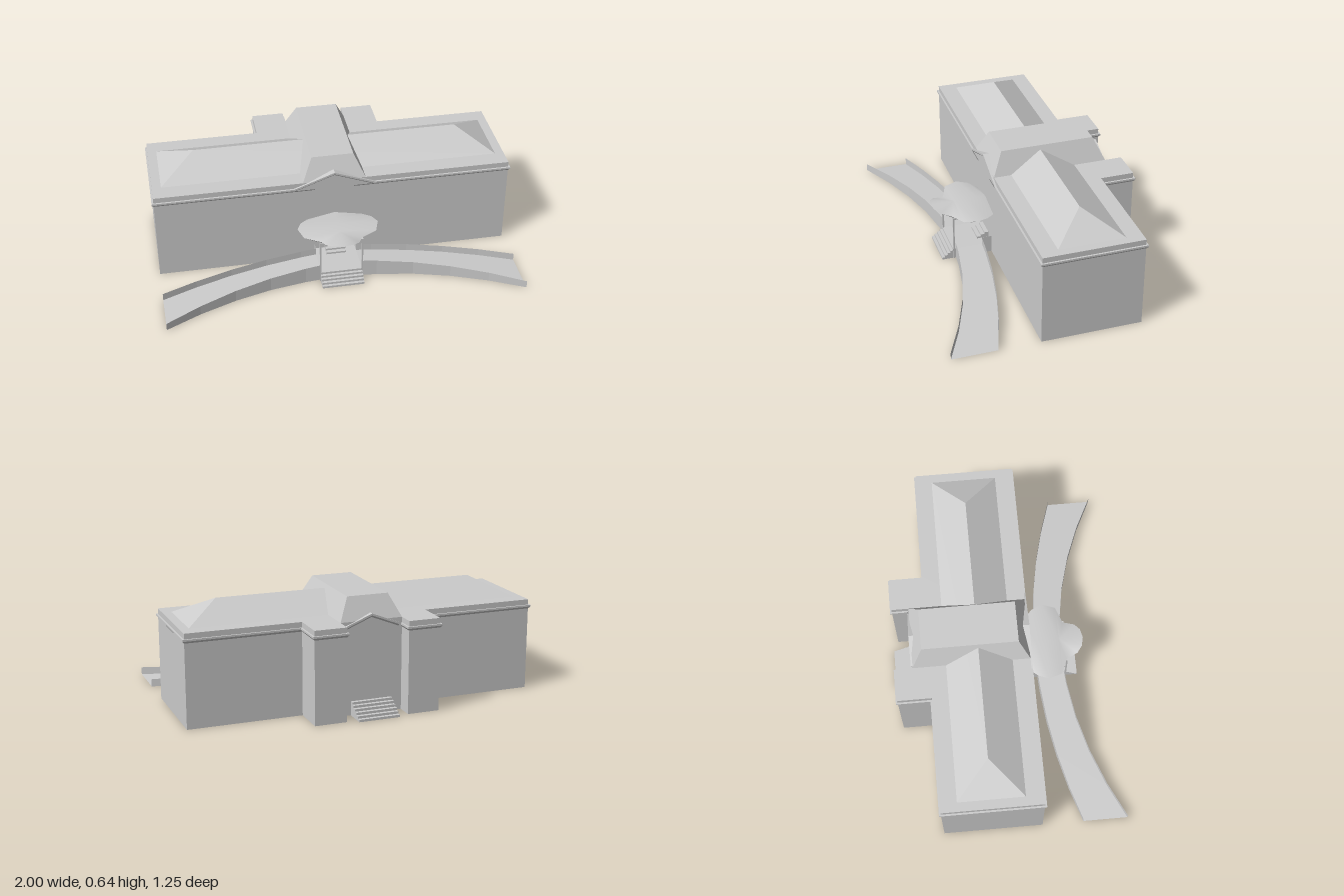
import * as THREE from 'three';
import { mergeVertices } from 'three/addons/utils/BufferGeometryUtils.js';
import { ConvexGeometry } from 'three/addons/geometries/ConvexGeometry.js';

const grey = new THREE.MeshStandardMaterial({ color: 0xcccccc, flatShading: true });
const sheet = new THREE.MeshStandardMaterial({ color: 0xcccccc, flatShading: true, side: THREE.DoubleSide });
const smoothSheet = new THREE.MeshStandardMaterial({ color: 0xcccccc, side: THREE.DoubleSide });

export function createModel() {
  const model = new THREE.Group();
  const add = (name, geometry, material = grey) => {
    const mesh = new THREE.Mesh(geometry, material);
    mesh.name = name;
    model.add(mesh);
    return mesh;
  };
  const box = (name, x0, x1, y0, y1, z0, z1) => {
    const g = new THREE.BoxGeometry(x1 - x0, y1 - y0, z1 - z0);
    return add(name, g.translate((x0 + x1) / 2, (y0 + y1) / 2, (z0 + z1) / 2));
  };
  const toShape = (pts) => new THREE.Shape(pts.map(([x, y]) => new THREE.Vector2(x, y)));
  const extrude = (pts, depth) => new THREE.ExtrudeGeometry(toShape(pts), { depth, bevelEnabled: false });
  // Shape on the ground plan from [x, z] points
  const plan = (pts) => pts.map(([x, z]) => [x, -z]);
  const raise = (name, pts, y0, y1) =>
    add(name, extrude(plan(pts), y1 - y0).rotateX(-Math.PI / 2).translate(0, y0, 0));
  // Extrudes a front outline of [x, y] points from z0 to z1
  const upright = (name, pts, z0, z1) => add(name, extrude(pts, z1 - z0).translate(0, 0, z0));
  const hull = (name, pts) => add(name, new ConvexGeometry(pts.map((p) => new THREE.Vector3(...p))));
  // Thin surface between two rows of points
  const strip = (name, a, b, material = sheet) => {
    const pos = [];
    for (let i = 0; i < a.length - 1; i++) {
      pos.push(...a[i], ...b[i], ...b[i + 1], ...a[i], ...b[i + 1], ...a[i + 1]);
    }
    let g = new THREE.BufferGeometry();
    g.setAttribute('position', new THREE.Float32BufferAttribute(pos, 3));
    if (material === smoothSheet) g = mergeVertices(g);
    g.computeVertexNormals();
    return add(name, g, material);
  };
  const atHeight = (pts, y) => pts.map(([x, z]) => [x, y, z]);
  const mirror = (pts) => pts.map(([x, ...rest]) => [-x, ...rest]);

  // Main block with two rear wings; half plan starts at the front, o = outward offset
  const halfPlan = (startX, o) => [
    [startX, 0.143 + o], [0.99 + o, 0.143 + o], [0.99 + o, -0.41 - o], [0.355 + o, -0.41 - o],
    [0.355 + o, -0.598 - o], [0.175 - o, -0.598 - o], [0.175 - o, -0.503 - o],
  ];
  const half = halfPlan(0, 0);
  const outline = [...half, ...mirror(half).reverse()];
  // Open-bottomed shell: walls and flat roof deck
  strip('mainWalls', atHeight(outline, 0), atHeight(outline, 0.515));
  add('roofDeck', new THREE.ShapeGeometry(toShape(plan(outline.slice(0, -1))))
    .rotateX(-Math.PI / 2).translate(0, 0.515, 0), sheet);
  strip('rearMiddleWall', [[-0.175, 0, -0.503], [0.175, 0, -0.503]],
    [[-0.175, 0.515, -0.503], [0.175, 0.515, -0.503]]);

  // Cornice: sloping soffit under a square band, broken at the front gable
  for (const [side, flip] of [['Left', (p) => p], ['Right', mirror]]) {
    strip('corniceSoffit' + side, atHeight(flip(halfPlan(0.11, 0)), 0.463),
      atHeight(flip(halfPlan(0.11, 0.01)), 0.475));
    const band = [...halfPlan(0.22, 0.01), ...halfPlan(0.22, -0.003).reverse()];
    raise('corniceBand' + side, flip(band), 0.475, 0.485);
  }

  // Gables with raking cornices, front and rear; d = outward direction
  const gable = (name, w, y, top, z, d) => {
    const inside = z - d * 0.053;
    const nose = z + d * 0.01;
    upright(name + 'Wall', [[-w, y], [w, y], [0, top]], Math.min(z, inside), Math.max(z, inside));
    const t = 0.011;
    upright(name + 'Cornice', [[-w, y - t], [0, top - t], [w, y - t], [w, y], [0, top], [-w, y]],
      Math.min(z, nose), Math.max(z, nose));
    const line = (drop, zz) => [[-w, y - drop, zz], [0, top - drop, zz], [w, y - drop, zz]];
    strip(name + 'Soffit', line(0.021, z), line(t, nose));
  };
  gable('frontGable', 0.225, 0.485, 0.57, 0.143, 1);
  gable('rearGable', 0.155, 0.49, 0.552, -0.503, -1);

  // Long hipped roof
  hull('hippedRoof', [
    [-0.94, 0.515, 0.045], [0.94, 0.515, 0.045], [0.94, 0.515, -0.32], [-0.94, 0.515, -0.32],
    [-0.743, 0.618, -0.138], [0.743, 0.618, -0.138],
  ]);
  // Flat-topped central roof
  hull('centralRoof', [
    [-0.175, 0.515, 0.143], [0.175, 0.515, 0.143], [0.175, 0.515, -0.503], [-0.175, 0.515, -0.503],
    [-0.116, 0.639, 0.083], [0.116, 0.639, 0.083], [0.116, 0.639, -0.445], [-0.116, 0.639, -0.445],
  ]);

  // Curved carriage ramps with low side walls
  const xs = [0.115, 0.2, 0.4, 0.6, 0.8, 0.99];
  const inner = (x) => 0.197 + 0.18 * x * x;
  const outer = (x) => 0.349 + 0.28 * x * x;
  const floorY = (x) => 0.06 * (0.99 - x) / 0.875;
  const wallY = (x) => 0.042 + 0.058 * (0.99 - x) / 0.875;
  for (const [s, side] of [[1, 'Left'], [-1, 'Right']]) {
    const row = (zOf, yOf) => xs.map((x) => [s * x, yOf(x), zOf(x)]);
    strip('rampFloor' + side, row(inner, floorY), row(outer, floorY));
    strip('rampInnerWall' + side, row(inner, () => 0), row(inner, wallY));
    strip('rampOuterWall' + side, row(outer, () => 0), row(outer, wallY));
    strip('porchReturnWall' + side, [[s * 0.115, 0, 0.143], [s * 0.115, 0, 0.199]],
      [[s * 0.115, 0.1, 0.143], [s * 0.115, 0.1, 0.199]]);
    // Porch posts and side beams
    const x = s * 0.117;
    box('porchPost' + side, x - 0.004, x + 0.004, 0, 0.258, 0.358, 0.366);
    box('porchBeam' + side, x - 0.004, x + 0.004, 0.252, 0.262, 0.143, 0.366);
  }
  box('porchFrontBeam', -0.121, 0.121, 0.252, 0.262, 0.358, 0.366);
  box('porchFloor', -0.115, 0.115, 0.05, 0.06, 0.143, 0.352);

  // Solid stairs descending from zTop to zEnd, half width w
  const stairs = (name, w, n, yBase, yTop, zTop, zEnd) => {
    const profile = [[zTop, yBase]];
    for (let i = 0; i < n; i++) {
      const y = yTop - (i / n) * (yTop - yBase);
      for (const k of [i, i + 1]) profile.push([zTop + (k / n) * (zEnd - zTop), y]);
    }
    profile.push([zEnd, yBase]);
    add(name, extrude(profile, 2 * w).rotateY(-Math.PI / 2).translate(w, 0, 0));
  };
  stairs('frontStairs', 0.117, 5, 0, 0.06, 0.352, 0.432);
  stairs('doorSteps', 0.056, 3, 0.06, 0.092, 0.143, 0.21);
  stairs('rearStairs', 0.116, 6, 0, 0.078, -0.503, -0.625);

  // Porch canopy: scalloped upturned rim, [x, y, z] for one half
  const rim = [
    [0.155, 0.268, 0.143], [0.2, 0.279, 0.19], [0.225, 0.285, 0.25], [0.2, 0.279, 0.325],
    [0.112, 0.266, 0.36], [0.086, 0.285, 0.424], [0.05, 0.296, 0.452], [0, 0.3, 0.463],
  ];
  const fullRim = [...rim, ...mirror(rim).reverse().slice(1)];
  const ridge = fullRim.map(([, , z]) => [0, 0.299, Math.min(z, 0.33)]);
  strip('canopyTop', fullRim, ridge, smoothSheet);
  // Sloping underside from the beams out to the rim
  const eaves = fullRim.map(([x, , z]) => [
    THREE.MathUtils.clamp(x, -0.117, 0.117), 0.262, Math.min(z, 0.362)]);
  strip('canopyUnderside', eaves, fullRim, smoothSheet);

  return model;
}
